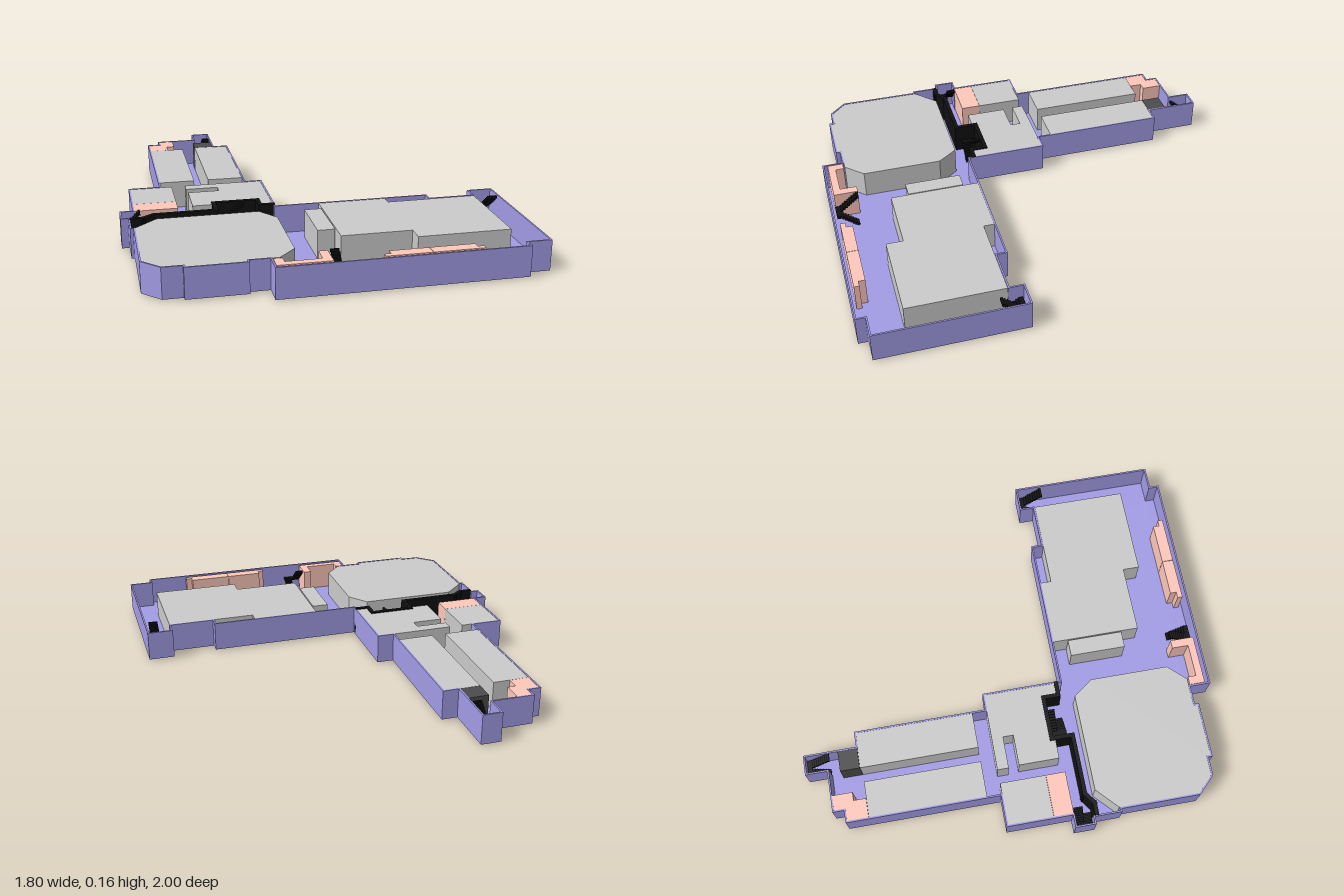
import * as THREE from 'three';

const material = (color) => new THREE.MeshStandardMaterial({ color });
const purple = material(0xa39ce6);
const grey = material(0xcccccc);
const pink = material(0xffc8bc);
const dark = material(0x4c4c4c);
const black = material(0x111111);

const BASE = 0.007, FLOOR = 0.014, TOP = 0.15, ROOM_TOP = 0.148;

// Building outline as [x, z] points, interior on the left of travel
const outline = [
  [-0.43, -1], [-0.335, -1], [-0.335, -0.745], [-0.26, -0.745], [-0.26, -0.105], [-0.18, -0.105],
  [-0.18, 0.28], [0.56, 0.28], [0.56, 0.33], [0.775, 0.33], [0.775, 0.26], [0.9, 0.26],
  [0.9, 0.955], [0.79, 0.955], [0.79, 1], [-0.32, 1], [-0.32, 0.9], [-0.41, 0.9],
  [-0.41, 0.92], [-0.68, 0.92], [-0.68, 0.9], [-0.77, 0.9], [-0.85, 0.82], [-0.85, 0.44],
  [-0.865, 0.44], [-0.865, 0.31], [-0.9, 0.31], [-0.9, 0.21], [-0.84, 0.21], [-0.84, -0.105],
  [-0.69, -0.105], [-0.69, -0.84], [-0.63, -0.84], [-0.63, -0.895], [-0.43, -0.895],
];

const vectors = (points) => points.map(([x, z]) => new THREE.Vector2(x, z));
const rect = (x0, z0, x1, z1) => [[x0, z0], [x1, z0], [x1, z1], [x0, z1]];

// Mitred inward offset of a closed outline
function inset(points, w) {
  const v = vectors(points), n = v.length;
  const normal = (a, b) => new THREE.Vector2(a.y - b.y, b.x - a.x).normalize();
  return v.map((p, i) => {
    const n1 = normal(v[(i + n - 1) % n], p), n2 = normal(p, v[(i + 1) % n]);
    const k = w / (1 + n1.dot(n2));
    return [p.x + k * (n1.x + n2.x), p.y + k * (n1.y + n2.y)];
  });
}

// Upright prism over a floor plan, with an optional hole
function prism(name, points, y0, y1, mat, hole) {
  const shape = new THREE.Shape(vectors(points));
  if (hole) shape.holes.push(new THREE.Path(vectors(hole)));
  const geometry = new THREE.ExtrudeGeometry(shape, { depth: y1 - y0, bevelEnabled: false });
  geometry.rotateX(Math.PI / 2).translate(0, y1, 0);
  const mesh = new THREE.Mesh(geometry, mat);
  mesh.name = name;
  return mesh;
}

function box(name, w, h, d, x, y, z, mat) {
  const mesh = new THREE.Mesh(new THREE.BoxGeometry(w, h, d), mat);
  mesh.name = name;
  mesh.position.set(x, y, z);
  return mesh;
}

// Switchback stair: up one flight to a landing at +z, then back up the other
function staircase(x, z, width, length, angle) {
  const stair = new THREE.Group();
  stair.name = 'staircase';
  const steps = 8, top = 0.155, rise = top / (2 * steps + 1);
  const landing = length * 0.2, tread = (length - landing) / steps, w = width * 0.48;
  for (let i = 0; i < steps; i++) {
    const zi = -length / 2 + (i + 0.5) * tread;
    stair.add(box('lowerStep', w, rise * 1.5, tread, width * 0.26, rise * (i + 0.75), zi, black));
    stair.add(box('upperStep', w, rise * 1.5, tread, -width * 0.26, top - rise * (i + 0.75), zi, black));
  }
  stair.add(box('landing', width, rise * 1.5, landing, 0, top / 2, (length - landing) / 2, black));
  stair.position.set(x, 0, z);
  stair.rotation.y = angle;
  return stair;
}

export function createModel() {
  const model = new THREE.Group();
  model.name = 'buildingFloor';

  // Floor slab and thin outer wall
  model.add(prism('floorSlab', outline, BASE, FLOOR, purple));
  model.add(prism('outerWall', outline, FLOOR, TOP, purple, inset(outline, 0.008)));

  // Closed room blocks
  const rooms = [
    ['northWestRoom', rect(-0.684, -0.73, -0.51, -0.17), grey],
    ['northEastRoom', rect(-0.44, -0.74, -0.265, -0.17), grey],
    ['serviceShaft', rect(-0.44, -0.835, -0.34, -0.741), dark],
    ['westRoom', rect(-0.834, -0.099, -0.63, 0.12), grey],
    ['westWashroom', rect(-0.834, 0.121, -0.63, 0.215), pink],
    ['besideStairRoom', rect(-0.06, 0.36, 0.02, 0.63), grey],
    ['northWashroom', [[-0.684, -0.834], [-0.625, -0.834], [-0.625, -0.889], [-0.55, -0.889],
      [-0.55, -0.79], [-0.59, -0.79], [-0.59, -0.731], [-0.684, -0.731]], pink],
    ['centralRoom', [[-0.565, -0.1], [-0.186, -0.1], [-0.186, 0.25], [-0.25, 0.25], [-0.25, 0.18],
      [-0.46, 0.18], [-0.46, 0.2], [-0.56, 0.2], [-0.56, 0.005], [-0.41, 0.005],
      [-0.41, -0.045], [-0.565, -0.045]], grey],
    ['hall', [[-0.74, 0.335], [-0.27, 0.335], [-0.2, 0.43], [-0.2, 0.81], [-0.28, 0.894],
      [-0.416, 0.894], [-0.416, 0.914], [-0.674, 0.914], [-0.674, 0.894], [-0.767, 0.894],
      [-0.842, 0.817], [-0.842, 0.43]], grey],
    ['eastRooms', [[0.025, 0.288], [0.35, 0.288], [0.35, 0.339], [0.78, 0.339], [0.78, 0.795],
      [0.35, 0.795], [0.35, 0.715], [0.025, 0.715]], grey],
    ['southWashroom', [[-0.31, 0.9], [-0.27, 0.9], [-0.27, 0.94], [-0.11, 0.94], [-0.11, 0.86],
      [-0.07, 0.86], [-0.07, 0.975], [-0.31, 0.975]], pink],
    ['southWashroomWest', [[0.15, 0.975], [0.15, 0.95], [0.18, 0.95], [0.18, 0.92],
      [0.356, 0.92], [0.356, 0.975]], pink],
    ['southWashroomEast', [[0.358, 0.975], [0.358, 0.92], [0.56, 0.92], [0.56, 0.95],
      [0.59, 0.95], [0.59, 0.975]], pink],
  ];
  for (const [name, plan, mat] of rooms) model.add(prism(name, plan, FLOOR, ROOM_TOP, mat));

  // Black dividing wall, one box per straight run
  const run = [[-0.85, 0.32], [-0.8, 0.32], [-0.75, 0.285], [-0.46, 0.285], [-0.46, 0.183],
    [-0.25, 0.183], [-0.25, 0.257], [-0.19, 0.257]];
  const wallTop = 0.154, wallWidth = 0.02;
  for (let i = 1; i < run.length; i++) {
    const [x0, z0] = run[i - 1], [x1, z1] = run[i];
    const piece = box('dividingWall', Math.hypot(x1 - x0, z1 - z0) + wallWidth, wallTop - FLOOR, wallWidth,
      (x0 + x1) / 2, (wallTop + FLOOR) / 2, (z0 + z1) / 2, black);
    piece.rotation.y = -Math.atan2(z1 - z0, x1 - x0);
    model.add(piece);
  }

  // Staircases
  model.add(staircase(-0.02, 0.92, 0.08, 0.115, 0));
  model.add(staircase(0.832, 0.33, 0.095, 0.115, Math.PI));
  model.add(staircase(-0.385, -0.935, 0.08, 0.115, Math.PI));
  model.add(staircase(-0.85, 0.262, 0.09, 0.085, -Math.PI / 2));
  model.add(staircase(-0.375, 0.225, 0.085, 0.115, -Math.PI / 2));
  return model;
}
